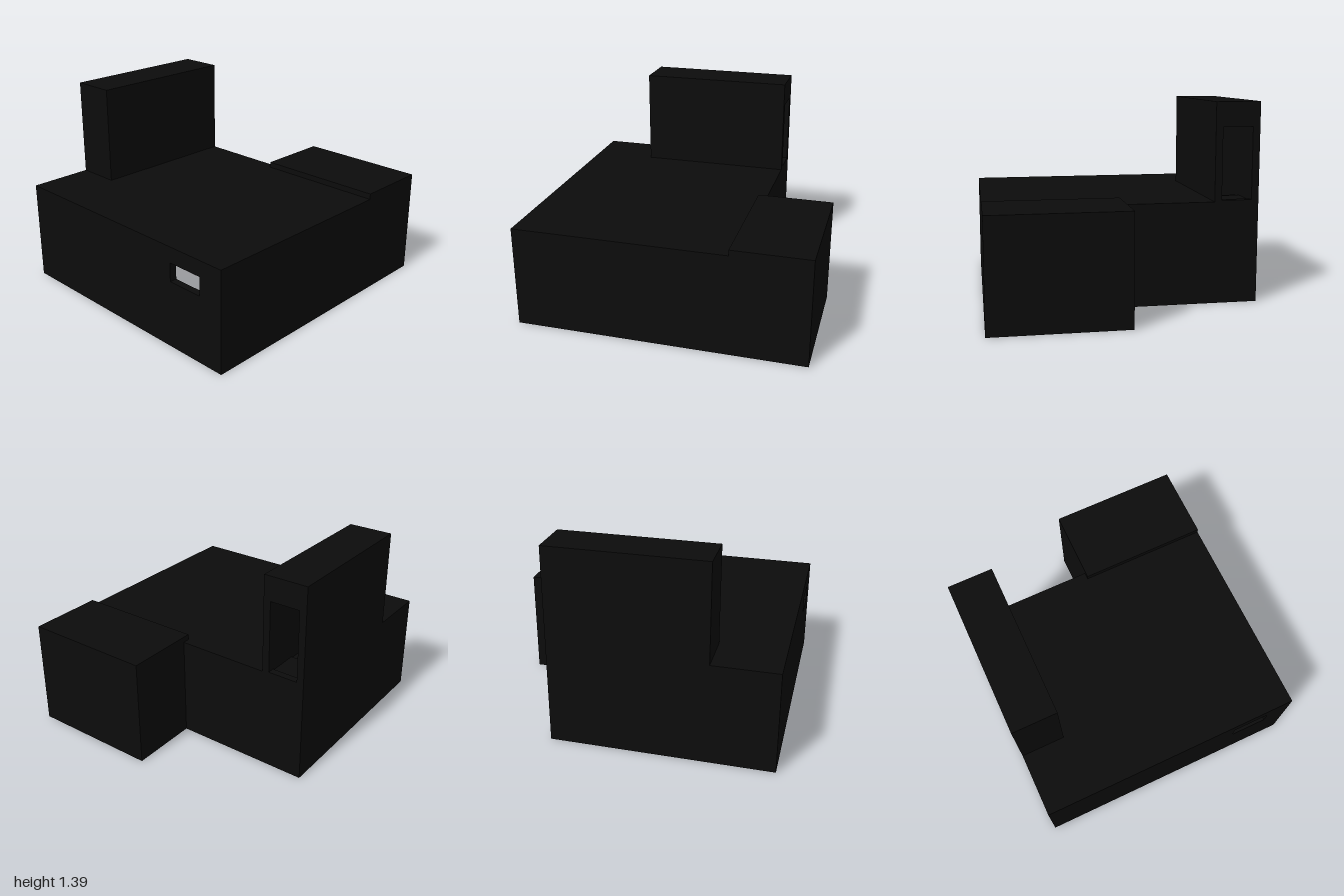
import * as THREE from 'three';

export function createModel() {
  const model = new THREE.Group();
  const black = new THREE.MeshStandardMaterial({ color: 0x0c0c0c });
  black.name = 'black';
  const T = 0.05; // wall thickness

  const add = (name, geometry, x = 0, y = 0, z = 0) => {
    const mesh = new THREE.Mesh(geometry, black);
    mesh.name = name;
    mesh.position.set(x, y, z);
    model.add(mesh);
  };

  // Box given by its limits on each axis
  const block = (name, x0, x1, y0, y1, z0, z1) =>
    add(name, new THREE.BoxGeometry(x1 - x0, y1 - y0, z1 - z0),
      (x0 + x1) / 2, (y0 + y1) / 2, (z0 + z1) / 2);

  // Upright slab cut from an outline, with rectangular openings [u0, u1, y0, y1]
  const slab = (outline, openings = []) => {
    const shape = new THREE.Shape(outline.map(([u, y]) => new THREE.Vector2(u, y)));
    for (const [u0, u1, y0, y1] of openings) {
      shape.holes.push(new THREE.Path([[u0, y0], [u0, y1], [u1, y1], [u1, y0]]
        .map(([u, y]) => new THREE.Vector2(u, y))));
    }
    return new THREE.ExtrudeGeometry(shape, { depth: T, bevelEnabled: false });
  };
  // Walls running along x start at z0; walls running along z end at x1
  const wallX = (name, z0, outline, openings) => add(name, slab(outline, openings), 0, 0, z0);
  const wallZ = (name, x1, outline) => add(name, slab(outline).rotateY(-Math.PI / 2), x1);

  // Outer walls of the main block
  wallX('frontWall', 1 - T, [[-0.94, 0], [0.94, 0], [0.94, 0.71], [-0.94, 0.71]],
    [[0.5, 0.76, 0.47, 0.6]]);
  wallX('backWall', -0.52, [
    [-0.94, 0], [0.27, 0], [0.27, 0.5], [0.47, 0.5], [0.47, 0], [0.94, 0],
    [0.94, 0.75], [0.02, 0.75], [0.02, 0.71], [-0.63, 0.71], [-0.63, 1.39], [-0.94, 1.39],
  ], [[-0.9, -0.67, 0.72, 1.22]]);
  wallZ('leftWall', 0.94, [[-1, 0], [1, 0], [1, 0.71], [-0.52, 0.71], [-0.52, 0.75], [-1, 0.75]]);
  wallZ('rightWall', -0.94 + T, [
    [-0.52, 0], [1, 0], [1, 0.71], [0.555, 0.71], [0.555, 1.39], [-0.52, 1.39],
  ]);

  // Rear annex
  wallX('annexBackWall', -1, [[0.02, 0], [0.94, 0], [0.94, 0.75], [0.02, 0.75]]);
  wallZ('annexSideWall', 0.02 + T, [[-1, 0], [-0.52, 0], [-0.52, 0.75], [-1, 0.75]]);
  block('annexRoof', 0.07, 0.89, 0.71, 0.75, -0.95, -0.52);

  // Main roof, open below the stair tower
  block('mainRoof', -0.63, 0.89, 0.68, 0.71, -0.47, 0.95);
  block('mainRoofCorner', -0.89, -0.63, 0.68, 0.71, 0.555, 0.95);

  // Stair tower, with a doorway under its inner wall
  wallZ('towerInnerWall', -0.63, [
    [-0.25, 0], [0.555, 0], [0.555, 1.39], [-0.52, 1.39], [-0.52, 0], [-0.47, 0],
    [-0.47, 0.45], [-0.25, 0.45],
  ]);
  block('towerFrontWall', -0.89, -0.68, 0.68, 1.39, 0.505, 0.555);
  block('towerRoof', -0.89, -0.68, 1.35, 1.39, -0.47, 0.505);

  // Stairs climbing to the roof door
  const steps = 9;
  const run = 0.75 / steps, rise = 0.7 / steps;
  for (let i = 0; i < steps; i++) {
    const z = 0.5 - i * run;
    block('stairStep', -0.89, -0.68, i * rise, (i + 1) * rise, z - run, z);
  }
  block('stairLanding', -0.89, -0.68, 0.65, 0.71, -0.47, -0.25);

  return model;
}
